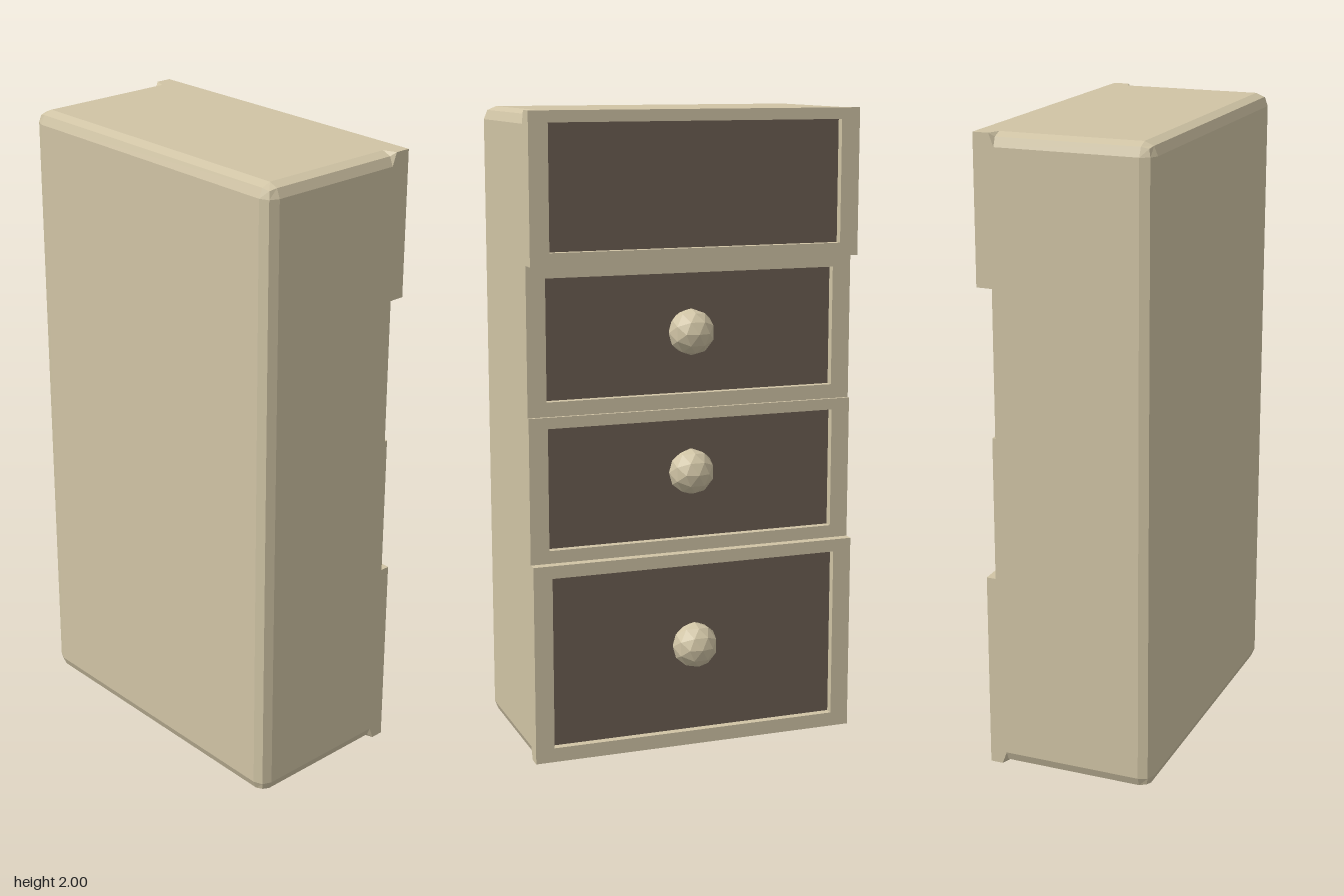
import * as THREE from 'three';
import { RoundedBoxGeometry } from 'three/addons/geometries/RoundedBoxGeometry.js';

const wood = new THREE.MeshStandardMaterial({ color: 0xd0c4a5, flatShading: true });
const dark = new THREE.MeshStandardMaterial({ color: 0x6b5e52, flatShading: true });

const H = 2, HALF_Z = 0.53, BACK = -0.3, FRONT = 0.2, BEVEL = 0.04;
const PANEL_HALF = 0.47, RECESS = 0.025;

function add(group, name, geometry, material, x = 0, y = 0, z = 0) {
  const mesh = new THREE.Mesh(geometry, material);
  mesh.name = name;
  mesh.position.set(x, y, z);
  group.add(mesh);
  return mesh;
}

// Bevelled box, open at the drawer side, whose bevels flare to sharp corners there
function cabinetGeometry() {
  const w = FRONT - BACK;
  const source = new RoundedBoxGeometry(w, H, HALF_Z * 2, 1, BEVEL);
  const capVertices = 54; // the +x face comes first; leave it out
  const geo = new THREE.BufferGeometry();
  geo.setAttribute('position', new THREE.BufferAttribute(source.attributes.position.array.slice(capVertices * 3), 3));
  const p = geo.attributes.position;
  const ring = w / 2 - BEVEL;
  for (let i = 0; i < p.count; i++) {
    const x = p.getX(i);
    if (x > ring + 1e-4) {
      p.setXYZ(i, w / 2, Math.sign(p.getY(i)) * H / 2, Math.sign(p.getZ(i)) * HALF_Z);
    } else if (x > ring - 1e-4) {
      p.setX(i, w / 2 - 0.015);
    }
  }
  geo.computeVertexNormals();
  return geo;
}

// Rectangular frame with an opening, extruded along +x
function frameGeometry(y0, y1, p0, p1, depth) {
  const rect = (Type, a, b, h) => new Type([
    new THREE.Vector2(-h, a), new THREE.Vector2(h, a), new THREE.Vector2(h, b), new THREE.Vector2(-h, b),
  ]);
  const shape = rect(THREE.Shape, y0, y1, HALF_Z);
  shape.holes.push(rect(THREE.Path, p0, p1, PANEL_HALF));
  return new THREE.ExtrudeGeometry(shape, { depth, bevelEnabled: false }).rotateY(Math.PI / 2);
}

export function createModel() {
  const model = new THREE.Group();
  model.name = 'chestOfDrawers';
  add(model, 'cabinet', cabinetGeometry(), wood, (FRONT + BACK) / 2, H / 2, 0);

  // Drawers from bottom to top, each pulled out a little differently
  const drawers = [
    { y: [0, 0.63], panel: [0.045, 0.59], front: 0.24, back: FRONT, knob: [0.223, 0.325] },
    { y: [0.63, 1.085], panel: [0.67, 1.05], front: 0.21, back: 0.18, knob: [0.187, 0.88] },
    { y: [1.085, 1.545], panel: [1.13, 1.505], front: 0.2, back: 0.17, knob: [0.187, 1.32] },
    { y: [1.545, 2], panel: [1.585, 1.965], front: 0.25, back: FRONT },
  ];
  drawers.forEach((d, i) => {
    const drawer = new THREE.Group();
    drawer.name = `drawer${i + 1}`;
    const [p0, p1] = d.panel;
    add(drawer, 'drawerFrame', frameGeometry(...d.y, p0, p1, d.front - d.back), wood, d.back);
    // Dark recessed panel
    const face = d.front - RECESS, thick = 0.05;
    add(drawer, 'drawerPanel', new THREE.BoxGeometry(thick, p1 - p0, PANEL_HALF * 2), dark,
      face - thick / 2, (p0 + p1) / 2, 0);
    if (d.knob) add(drawer, 'knob', new THREE.IcosahedronGeometry(0.073, 1), wood, d.knob[0], d.knob[1], 0);
    model.add(drawer);
  });
  return model;
}
